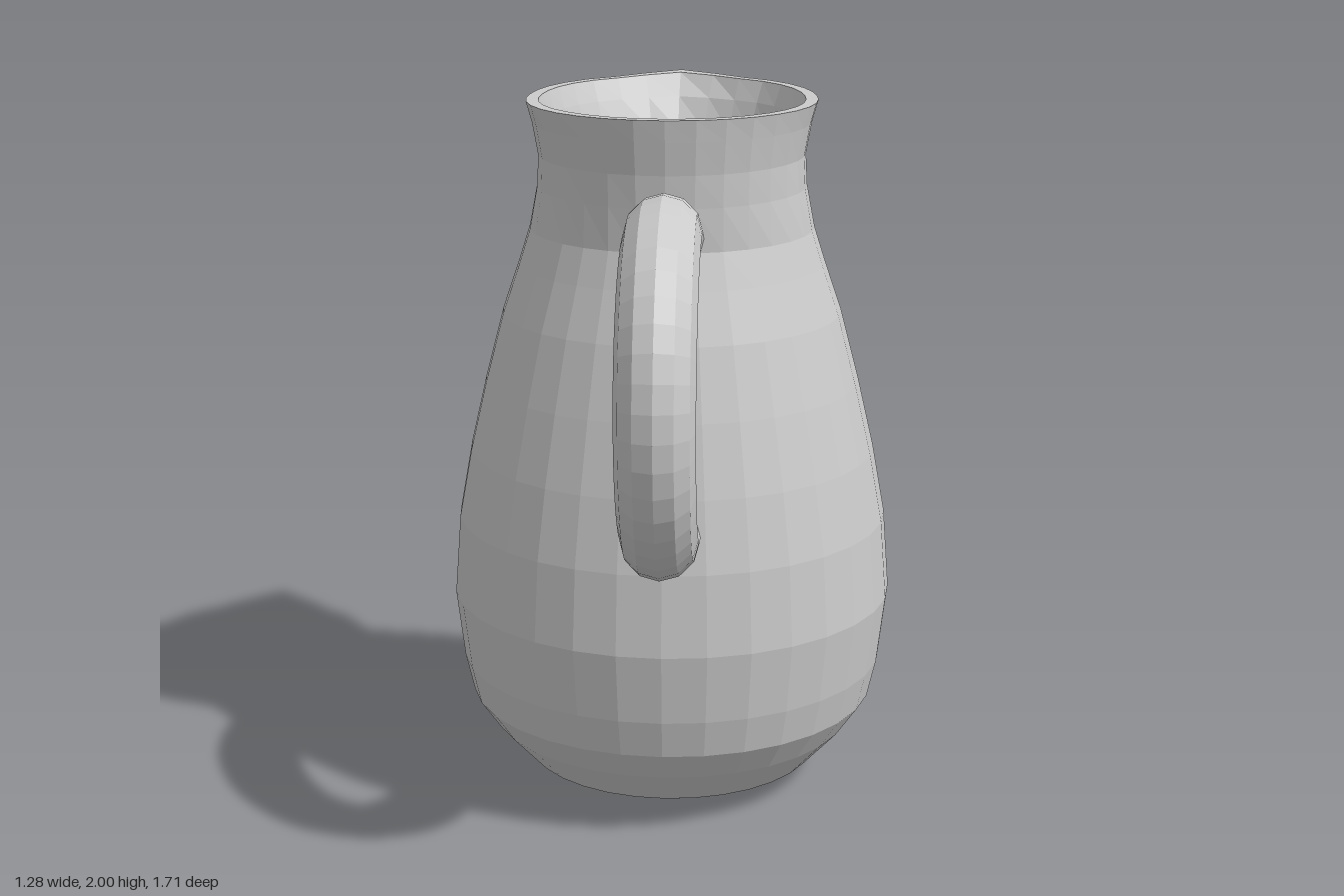
import * as THREE from 'three';

const AXIS_Z = -0.215; // the body sits behind the origin, the handle in front
const WALL = 0.035;

// Outer silhouette: [radius, height]
const OUTER = [
  [0.30, 0], [0.43, 0.06], [0.53, 0.17], [0.592, 0.26], [0.617, 0.37],
  [0.64, 0.57], [0.622, 0.8], [0.585, 1.0], [0.538, 1.2], [0.485, 1.4],
  [0.437, 1.54], [0.405, 1.64], [0.382, 1.76], [0.377, 1.85], [0.393, 1.94], [0.41, 2],
];

function outerRadius(y) {
  for (let i = 1; i < OUTER.length; i++) {
    const [r0, y0] = OUTER[i - 1], [r1, y1] = OUTER[i];
    if (y <= y1) return THREE.MathUtils.lerp(r0, r1, Math.max(0, (y - y0) / (y1 - y0)));
  }
  return OUTER[OUTER.length - 1][0];
}

// Extra neck radius at height y; angle is measured from the spout direction
function neckOffset(y, angle, peakSize) {
  const t = Math.max(0, (y - 1.64) / 0.36);
  const c = Math.cos(angle);
  if (c < 0) return 0.035 * c * c * Math.sin(Math.PI * 0.8 * t);
  const peak = Math.max(0, 1 - angle / 0.314);
  return 0.11 * c * c * t + peakSize * peak * t ** 6;
}

// Hollow body with neck, flat rim and pouring lip
function makeBody(material) {
  const inner = OUTER.slice(2).reverse().map(([r, y]) => [r - WALL, y]);
  const profile = [[0, 0], ...OUTER, ...inner, [0.4, 0.1], [0.28, 0.05], [0, 0.05]];
  const geometry = new THREE.LatheGeometry(profile.map(([r, y]) => new THREE.Vector2(r, y)), 32);
  const pos = geometry.attributes.position;
  for (let i = 0; i < pos.count; i++) {
    const x = pos.getX(i), y = pos.getY(i), z = pos.getZ(i);
    const r = Math.hypot(x, z);
    if (y < 1.64 || r === 0) continue;
    const isOuter = i % profile.length <= OUTER.length;
    const angle = Math.abs(Math.atan2(x, -z));
    const s = 1 + neckOffset(y, angle, isOuter ? 0.12 : 0.09) / r;
    pos.setXYZ(i, x * s, y, z * s);
  }
  geometry.translate(0, 0, AXIS_Z);
  geometry.computeVertexNormals();
  const mesh = new THREE.Mesh(geometry, material);
  mesh.name = 'jugBody';
  return mesh;
}

// Ring handle whose ends are trimmed inside the wall of the body
function makeHandle(material) {
  const geometry = new THREE.TorusGeometry(0.41, 0.104, 12, 26, 3.85);
  geometry.rotateZ(-1.8);       // opening faces the body
  geometry.rotateY(-Math.PI / 2); // stand the ring in the y-z plane
  geometry.translate(0, 1.31, 0.345);
  const pos = geometry.attributes.position;
  for (let i = 0; i < pos.count; i++) {
    const x = pos.getX(i), y = pos.getY(i);
    const r = outerRadius(y) + neckOffset(y, Math.PI, 0) - 0.018;
    const limit = AXIS_Z + Math.sqrt(r * r - x * x);
    pos.setZ(i, Math.max(pos.getZ(i), limit));
  }
  geometry.computeVertexNormals();
  const mesh = new THREE.Mesh(geometry, material);
  mesh.name = 'handle';
  return mesh;
}

export function createModel() {
  const material = new THREE.MeshStandardMaterial({ color: 0xcccccc, flatShading: true });
  const group = new THREE.Group();
  group.name = 'pitcher';
  group.add(makeBody(material), makeHandle(material));
  return group;
}
